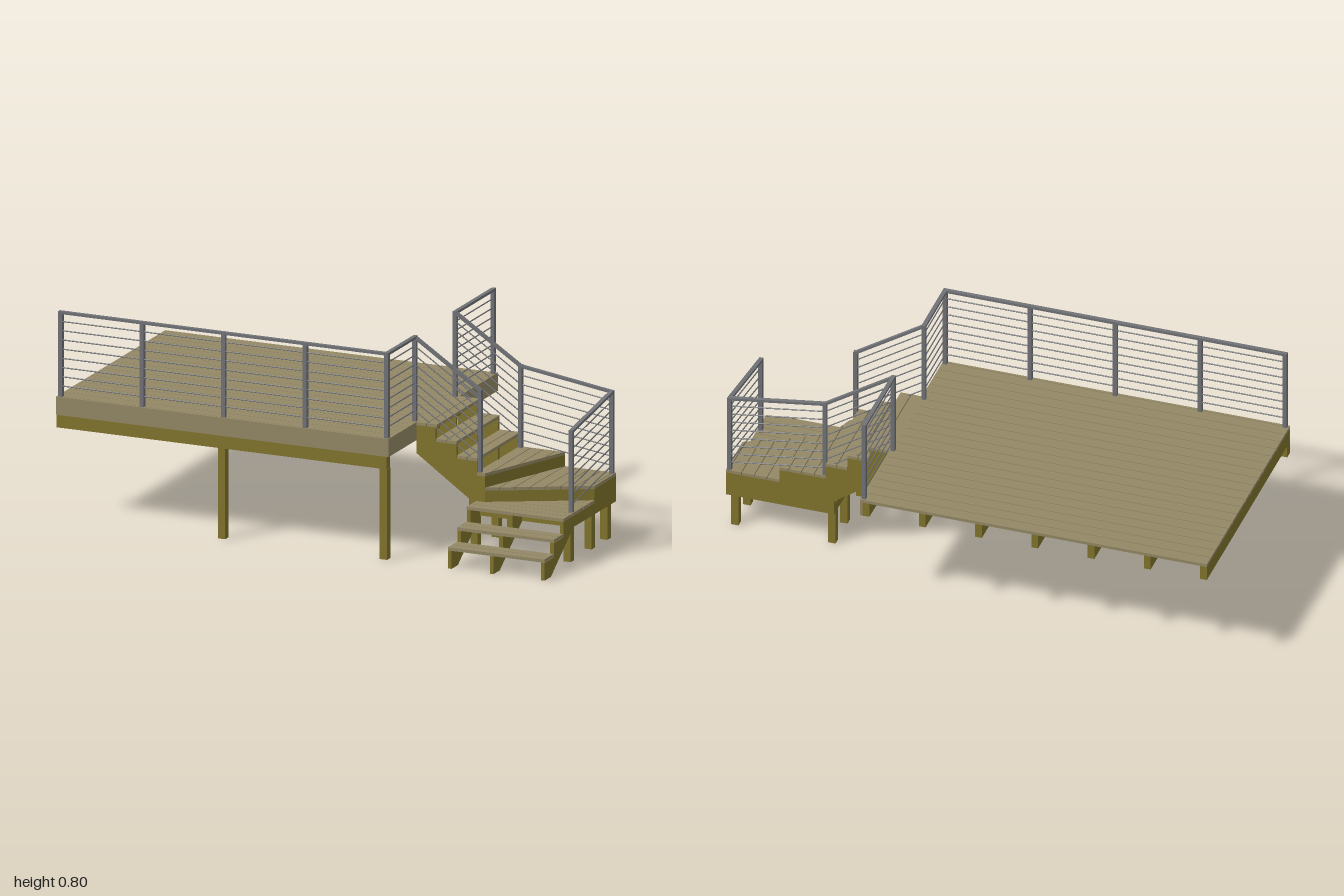
import * as THREE from 'three';

export function createModel() {
  const model = new THREE.Group();
  const mat = (name, color) => {
    const m = new THREE.MeshStandardMaterial({ color });
    m.name = name;
    return m;
  };
  const decking = mat('weathered decking', 0x938866);
  const timber = mat('olive framing timber', 0x80732c);
  const metal = mat('grey railing metal', 0x707276);

  const group = (name) => {
    const g = new THREE.Group();
    g.name = name;
    model.add(g);
    return g;
  };
  const add = (parent, name, geometry, material) => {
    const mesh = new THREE.Mesh(geometry, material);
    mesh.name = name;
    parent.add(mesh);
    return mesh;
  };
  // box given by its extents on each axis
  const box = (parent, name, material, x0, x1, y0, y1, z0, z1) => {
    const mesh = add(parent, name, new THREE.BoxGeometry(x1 - x0, y1 - y0, z1 - z0), material);
    mesh.position.set((x0 + x1) / 2, (y0 + y1) / 2, (z0 + z1) / 2);
  };
  const extrude = (points, depth) => new THREE.ExtrudeGeometry(
    new THREE.Shape(points.map(([x, y]) => new THREE.Vector2(x, y))), { depth, bevelEnabled: false });
  // prism standing on a plan outline of [x, z] points
  const prism = (parent, name, material, plan, y0, y1) => {
    const g = extrude(plan.map(([x, z]) => [x, -z]), y1 - y0);
    g.rotateX(-Math.PI / 2).translate(0, y0, 0);
    add(parent, name, g, material);
  };
  // keep the part of an outline where side * (coordinate - limit) >= 0
  const clip = (plan, axis, limit, side) => {
    const out = [];
    plan.forEach((p, i) => {
      const q = plan[(i + 1) % plan.length];
      const a = side * (p[axis] - limit), b = side * (q[axis] - limit);
      if (a >= 0) out.push(p);
      if (a * b < 0) {
        const t = a / (a - b);
        out.push([p[0] + (q[0] - p[0]) * t, p[1] + (q[1] - p[1]) * t]);
      }
    });
    return out;
  };
  // outline covered in parallel boards
  const boarded = (parent, name, plan, top, axis, width) => {
    const values = plan.map((p) => p[axis]);
    const end = Math.max(...values);
    for (let a = Math.min(...values); a < end - 0.006; a += width) {
      const strip = clip(clip(plan, axis, a, 1), axis, Math.min(a + width - 0.003, end), -1);
      if (strip.length > 2) prism(parent, name, decking, strip, top - 0.012, top);
    }
  };

  // deck boards
  const deck = group('deck');
  const boards = 19, pitch = 0.965 / boards;
  for (let i = 0; i < boards; i++) {
    const z = -0.49 + i * pitch;
    box(deck, 'deckBoard', decking, -1, 0.35, 0.458, 0.47, z, z + pitch - 0.003);
  }
  // fascia boards
  box(deck, 'frontFascia', decking, -1, 0.36, 0.4, 0.47, 0.475, 0.485);
  box(deck, 'rightFascia', decking, 0.35, 0.36, 0.4, 0.47, -0.49, 0.475);
  // joists, beam and posts
  for (let i = 0; i < 7; i++) {
    const x = -1 + i * 0.2205;
    box(deck, 'joist', timber, x, x + 0.026, 0.4, 0.458, -0.49, 0.475);
  }
  box(deck, 'beam', timber, -1, 0.35, 0.35, 0.4, 0.45, 0.48);
  for (const x of [-0.34, 0.322])
    box(deck, 'deckPost', timber, x, x + 0.03, 0, 0.35, 0.45, 0.48);

  // upper stair flight, going down towards +x
  const back = -0.15, front = 0.235;
  const upper = group('upperStairs');
  const upperProfile = [[0.36, 0.458], [0.437, 0.458], [0.437, 0.403], [0.523, 0.403], [0.523, 0.348],
    [0.608, 0.348], [0.608, 0.14], [0.575, 0.14], [0.575, 0.2], [0.36, 0.35]];
  for (const z of [back, 0.035, front - 0.015])
    add(upper, 'upperStringer', extrude(upperProfile, 0.015), timber).position.z = z;
  box(upper, 'stairHeader', timber, 0.36, 0.372, 0.402, 0.458, back, front);
  [[0.36, 0.47], [0.44, 0.415], [0.525, 0.36]].forEach(([x, y]) => {
    for (const dx of [0, 0.043])
      box(upper, 'upperTread', decking, x, x, y - 0.012, y, back, front),
      upper.children.pop(),
      box(upper, 'upperTread', decking, x + dx, x + dx + 0.04, y - 0.012, y, back, front);
  });

  // landing with winder steps
  const landing = group('winderLanding');
  const left = 0.605;
  const first = [[left, back], [0.79, back], [0.64, front], [left, front]];
  const second = [[0.79, back], [1, back], [1, 0.045], [0.64, front]];
  const third = [[1, 0.045], [1, front], [0.64, front]];
  box(landing, 'landingBase', timber, 0.575, 1, 0.14, 0.183, back, front);
  prism(landing, 'firstWinderRiser', timber, first, 0.183, 0.293);
  prism(landing, 'secondWinderRiser', timber, second, 0.183, 0.238);
  boarded(landing, 'firstWinderTread', first, 0.305, 0, 0.05);
  boarded(landing, 'secondWinderTread', second, 0.25, 0, 0.05);
  boarded(landing, 'thirdWinderTread', third, 0.195, 1, 0.05);
  for (const x of [0.575, 0.955])
    for (const z of [-0.135, 0.005, 0.192])
      box(landing, 'landingPost', timber, x, x + 0.03, 0, 0.14, z, z + 0.031);

  // lower stair flight, going down towards +z
  const lower = group('lowerStairs');
  const lowerProfile = [[0.235, 0.183], [0.32, 0.183], [0.32, 0.123], [0.405, 0.123], [0.405, 0.068],
    [0.488, 0.068], [0.488, 0], [0.432, 0], [0.235, 0.137]];
  for (const x of [left, 0.776, 0.985]) {
    const g = extrude(lowerProfile.map(([z, y]) => [-z, y]), 0.015);
    add(lower, 'lowerStringer', g.rotateY(Math.PI / 2), timber).position.x = x;
  }
  [[0.238, 0.195], [0.323, 0.137], [0.407, 0.082]].forEach(([z, y]) => {
    for (const dz of [0, 0.043])
      box(lower, 'lowerTread', decking, left, 1, y - 0.012, y, z + dz, z + dz + 0.04);
  });

  // railings: posts, top rails and eight cables per bay
  const railing = group('railing');
  const post = (x, z, y0, y1) =>
    box(railing, 'railPost', metal, x - 0.008, x + 0.008, y0, y1, z - 0.008, z + 0.008);
  const bar = (name, a, b, drop, geometry) => {
    const p = new THREE.Vector3(...a), q = new THREE.Vector3(...b);
    p.y -= drop;
    q.y -= drop;
    const mesh = add(railing, name, geometry(p.distanceTo(q)), metal);
    mesh.position.copy(p).add(q).multiplyScalar(0.5);
    mesh.lookAt(q);
  };
  const bay = (a, b) => {
    bar('topRail', a, b, 0.005, (l) => new THREE.BoxGeometry(0.016, 0.01, l));
    for (let i = 0; i < 8; i++)
      bar('cable', a, b, 0.04 + i * 0.0357,
        (l) => new THREE.CylinderGeometry(0.0025, 0.0025, l, 8).rotateX(Math.PI / 2));
  };
  const run = (points) => points.slice(1).forEach((p, i) => bay(points[i], p));

  const fz = 0.472, rx = 0.348, zf = 0.223, zb = -0.138;
  const frontXs = [-0.985, -0.652, -0.319, 0.015, rx];
  frontXs.forEach((x) => post(x, fz, 0.47, 0.8));
  for (const z of [zf, zb, -0.475]) post(rx, z, 0.47, 0.8);
  post(0.615, zf, 0.25, 0.625);
  post(0.615, zb, 0.3, 0.625);
  post(0.988, zb, 0.25, 0.57);
  post(0.988, zf, 0.19, 0.512);
  // front side, turning the corner and down the near side of the stairs
  run([...frontXs.map((x) => [x, 0.8, fz]), [rx, 0.8, zf], [0.615, 0.625, zf]]);
  // back part of the right side, down the far side and around the landing
  run([[rx, 0.8, -0.475], [rx, 0.8, zb], [0.615, 0.625, zb], [0.988, 0.57, zb], [0.988, 0.512, zf]]);

  return model;
}
